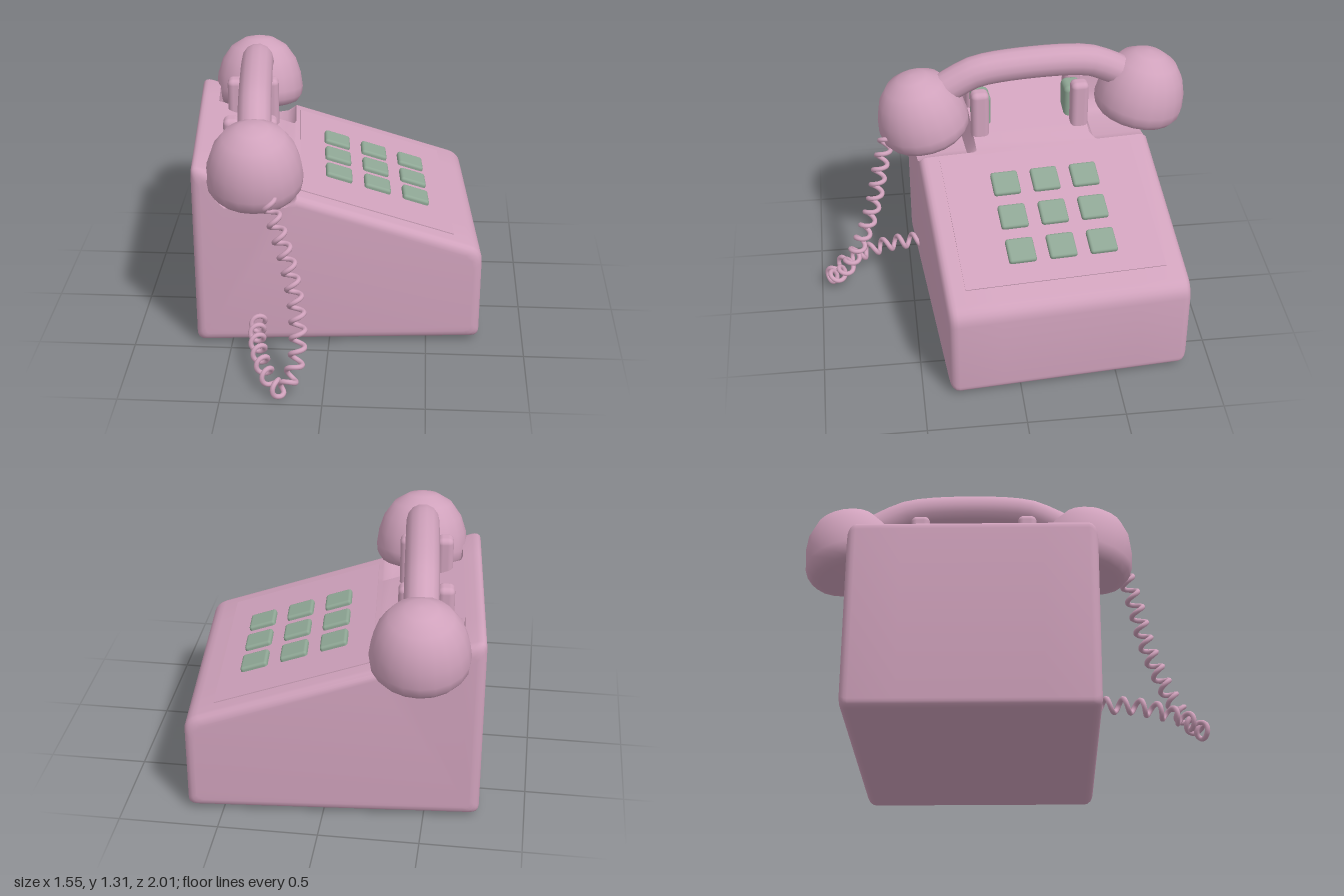
import * as THREE from 'three';
import { toCreasedNormals } from 'three/addons/utils/BufferGeometryUtils.js';
import { RoundedBoxGeometry } from 'three/addons/geometries/RoundedBoxGeometry.js';

const SLOPE = 1 / 3;
const topY = (x) => 0.84 - SLOPE * (x + 0.21); // height of the sloping top

// Floor of the scoops under the handset ends, right to left
const SCOOP = [[-0.21, 2], [-0.22, 0.82], [-0.26, 0.79], [-0.33, 0.78], [-0.51, 0.78],
  [-0.57, 0.79], [-0.61, 0.83], [-0.62, 0.88], [-0.63, 2]];

// Side profile of the body, inset by d, with or without the scoop
function bodyProfile(d, scooped) {
  const w = 0.73 - d, top = (x) => topY(x) - d * 1.05;
  const corners = [[-w, 0.02 + d, 0.04], [w, 0.02 + d, 0.04], [w, top(w), 0.07], [-w, top(-w), 0.05]]
    .map(([x, y, r]) => ({ p: new THREE.Vector2(x, y), r }));
  const pts = [];
  corners.forEach(({ p, r }, i) => {
    if (i === 3) {
      for (const [x, y] of SCOOP) pts.push(new THREE.Vector2(x, scooped ? Math.min(y, top(x)) : top(x)));
    }
    const toward = (q) => q.clone().sub(p).setLength(r).add(p);
    const a = toward(corners[(i + 3) % 4].p), b = toward(corners[(i + 1) % 4].p);
    pts.push(...new THREE.QuadraticBezierCurve(a, p, b).getPoints(5));
  });
  return pts;
}

// Body lofted through profiles along its depth
function bodyGeometry() {
  const r = 0.045, half = [];
  for (let i = 0; i <= 4; i++) {
    const a = (Math.PI / 2) * (1 - i / 4);
    half.push([0.62 - r + r * Math.sin(a), r - r * Math.cos(a), true]);
  }
  half.push([0.35, 0, true], [0.31, 0, false]);
  const rings = [...half.map(([z, d, s]) => [-z, d, s]), ...half.slice().reverse()];
  const pos = [], idx = [];
  let n = 0, outline;
  for (const [z, d, s] of rings) {
    outline = bodyProfile(d, s);
    n = outline.length;
    outline.forEach((p) => pos.push(p.x, p.y, z));
  }
  const last = (rings.length - 1) * n;
  for (let i = 0; i < rings.length - 1; i++) {
    for (let j = 0; j < n; j++) {
      const k = (j + 1) % n, a = i * n + j, b = i * n + k;
      idx.push(a, b, b + n, a, b + n, a + n);
    }
  }
  for (const [a, b, c] of THREE.ShapeUtils.triangulateShape(outline, [])) {
    idx.push(last + a, last + b, last + c, a, c, b);
  }
  const g = new THREE.BufferGeometry();
  g.setAttribute('position', new THREE.Float32BufferAttribute(pos, 3));
  g.setIndex(idx);
  return toCreasedNormals(g, 0.7);
}

export function createModel() {
  const pink = new THREE.MeshStandardMaterial({ color: 0xd0a2bc });
  pink.name = 'dusty pink';
  const green = new THREE.MeshStandardMaterial({ color: 0x8fa795 });
  green.name = 'sage green';

  const model = new THREE.Group();
  model.name = 'telephone';
  const add = (parent, name, geometry, material, x = 0, y = 0, z = 0) => {
    const m = new THREE.Mesh(geometry, material);
    m.name = name;
    m.position.set(x, y, z);
    parent.add(m);
    return m;
  };

  // Phone stands slightly turned
  const phone = new THREE.Group();
  phone.name = 'phone';
  phone.rotation.y = 0.08;
  phone.position.z = -0.2;
  model.add(phone);
  add(phone, 'body', bodyGeometry(), pink);

  // Keypad lying on the slope
  const keypad = new THREE.Group();
  keypad.name = 'keypad';
  keypad.position.set(0.2, topY(0.2), 0);
  keypad.rotation.z = -Math.atan(SLOPE);
  phone.add(keypad);
  add(keypad, 'keypadPanel', new THREE.BoxGeometry(0.82, 0.008, 1.03), pink, 0, 0.001, 0);
  const key = new RoundedBoxGeometry(0.142, 0.05, 0.142, 2, 0.015);
  for (let i = -1; i <= 1; i++) {
    for (let j = -1; j <= 1; j++) {
      add(keypad, 'key', key, green, 0.01 + i * 0.211, 0.004, -0.01 + j * 0.21);
    }
  }

  // Cradle prongs with a hook button between each pair
  const prong = new RoundedBoxGeometry(0.085, 0.35, 0.095, 3, 0.03);
  const hook = new RoundedBoxGeometry(0.13, 0.2, 0.1, 3, 0.03);
  for (const s of [-1, 1]) {
    for (const x of [-0.535, -0.345]) add(phone, 'cradleProng', prong, pink, x, 0.955, s * 0.27);
    add(phone, 'hookButton', hook, green, -0.44, 0.97, s * 0.25);
  }

  // Handset: bent handle and two domed ends leaning outward
  const handset = new THREE.Group();
  handset.name = 'handset';
  handset.position.set(-0.415, 0, -0.03);
  phone.add(handset);
  const spine = new THREE.CatmullRomCurve3(
    [[1.05, -0.6], [1.17, -0.4], [1.212, -0.3], [1.233, 0], [1.212, 0.3], [1.17, 0.4], [1.05, 0.6]]
      .map(([y, z]) => new THREE.Vector3(0, y, z)));
  add(handset, 'handle', new THREE.TubeGeometry(spine, 20, 0.085, 14), pink);
  const dome = toCreasedNormals(new THREE.LatheGeometry(
    [[0, 0], [0.18, 0], [0.215, 0.012], [0.238, 0.045], [0.243, 0.09], [0.232, 0.17],
      [0.205, 0.25], [0.155, 0.32], [0.08, 0.365], [0, 0.38]]
      .map(([x, y]) => new THREE.Vector2(x, y)), 20), 0.9);
  for (const s of [-1, 1]) {
    const end = add(handset, s > 0 ? 'mouthpiece' : 'earpiece', dome, pink, 0, 0.855, s * 0.575);
    end.rotation.x = s * 0.19;
  }

  // Coiled cord: a helix wound around a hanging path
  const path = new THREE.CatmullRomCurve3([
    [-0.29, 0.92, 0.59], [-0.23, 0.75, 0.64], [-0.17, 0.55, 0.69], [-0.13, 0.32, 0.78],
    [-0.14, 0.14, 0.87], [-0.2, 0.052, 0.95], [-0.26, 0.08, 0.9], [-0.31, 0.11, 0.79],
    [-0.35, 0.14, 0.62], [-0.36, 0.15, 0.44]].map((p) => new THREE.Vector3(...p)));
  const steps = 240, turns = 19;
  const frames = path.computeFrenetFrames(steps);
  const coil = [];
  for (let i = 0; i <= steps; i++) {
    const a = (i / steps) * turns * Math.PI * 2;
    coil.push(path.getPointAt(i / steps)
      .addScaledVector(frames.normals[i], 0.034 * Math.cos(a))
      .addScaledVector(frames.binormals[i], 0.034 * Math.sin(a)));
  }
  add(model, 'cord', new THREE.TubeGeometry(new THREE.CatmullRomCurve3(coil), 480, 0.013, 8), pink);

  return model;
}
